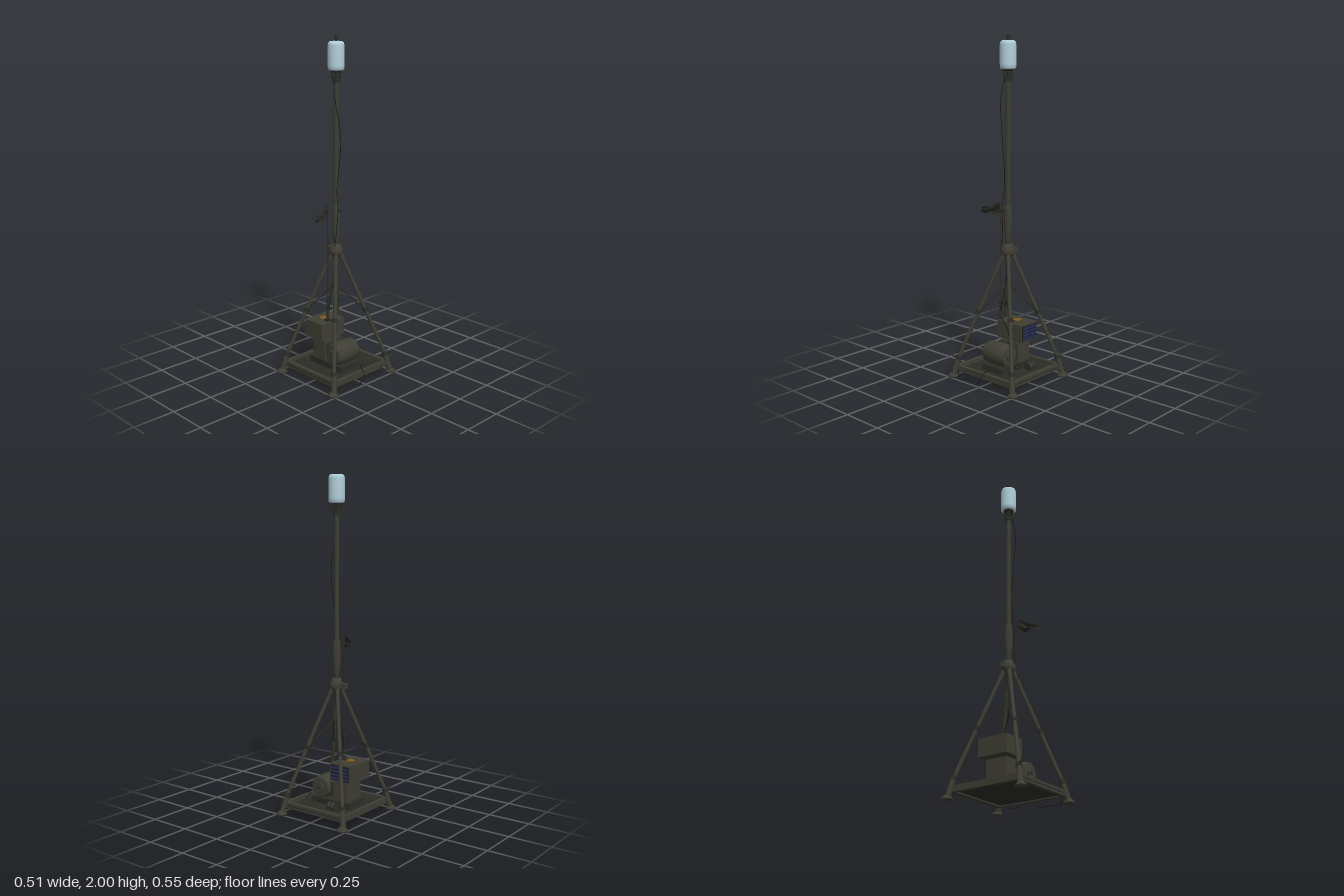
import * as THREE from 'three';

const mat = (name, color, opts = {}) => {
  const m = new THREE.MeshStandardMaterial({ color, ...opts });
  m.name = name;
  return m;
};
const V = (x, y, z) => new THREE.Vector3(x, y, z);

export function createModel() {
  const model = new THREE.Group();
  const olive = mat('olive paint', 0x3e3e34);
  const dark = mat('dark metal', 0x2c2c27);
  const black = mat('black cable', 0x1c1c1b);
  const cloth = mat('dark cloth', 0x262622, { side: THREE.DoubleSide });
  const glass = mat('pale blue lamp', 0xb2d0da);
  const amber = mat('amber cap', 0x7a5a20);
  const blue = mat('blue louver', 0x26305e);

  const add = (name, geo, material, pos = [0, 0, 0], parent = model) => {
    const m = new THREE.Mesh(geo, material);
    m.name = name;
    m.position.set(...pos);
    parent.add(m);
    return m;
  };
  const box = (name, x0, x1, y0, y1, z0, z1, material) =>
    add(name, new THREE.BoxGeometry(x1 - x0, y1 - y0, z1 - z0), material,
      [(x0 + x1) / 2, (y0 + y1) / 2, (z0 + z1) / 2]);
  // Straight round bar between two points
  const bar = (name, a, b, r0, r1, material, sides = 10) => {
    const m = add(name, new THREE.CylinderGeometry(r1, r0, a.distanceTo(b), sides), material);
    m.position.copy(a).add(b).multiplyScalar(0.5);
    m.quaternion.setFromUnitVectors(V(0, 1, 0), b.clone().sub(a).normalize());
    return m;
  };
  const lathe = (name, pts, sides, material, pos) =>
    add(name, new THREE.LatheGeometry(pts.map(p => new THREE.Vector2(...p)), sides), material, pos);
  const cable = (name, pts, r = 0.0025) => add(name, new THREE.TubeGeometry(
    new THREE.CatmullRomCurve3(pts.map(p => V(...p))), pts.length * 8, r, 5), black);

  // Platform tray with a raised frame
  box('trayFloor', -0.2, 0.21, 0.047, 0.055, -0.21, 0.21, dark);
  for (const s of [-1, 1]) {
    box('frameRailAcross', -0.215, 0.22, 0.04, 0.075, s * 0.2125 - 0.0125, s * 0.2125 + 0.0125, olive);
    box('frameRailSide', s * 0.2075 - 0.0105, s * 0.2075 + 0.0105, 0.04, 0.075, -0.2, 0.2, olive);
    box('frameGroove', -0.185, 0.19, 0.054, 0.06, s * 0.2255 - 0.001, s * 0.2255 + 0.001, dark);
    for (const x of [-0.14, 0.14]) {
      const bolt = add('frameBolt', new THREE.CylinderGeometry(0.007, 0.007, 0.006, 6), dark, [x, 0.057, s * 0.226]);
      bolt.rotation.x = Math.PI / 2;
    }
  }

  // Four legs with foot pads, sockets and pins
  for (const sx of [-1, 1]) for (const sz of [-1, 1]) {
    const P = (r, y, dz = 0.01) => V(sx * r, y, sz * (r + dz));
    lathe('footPad', [[0, 0], [0.033, 0], [0.032, 0.008], [0.016, 0.024], [0, 0.026]], 8, olive,
      [sx * 0.223, 0, sz * 0.24]);
    bar('footSocket', P(0.224, 0.015), P(0.201, 0.125), 0.017, 0.015, olive);
    bar('socketCollar', P(0.204, 0.108), P(0.199, 0.13), 0.019, 0.017, dark);
    bar('socketPin', P(0.2, 0.115), P(0.228, 0.132), 0.004, 0.004, dark, 6);
    bar('leg', P(0.205, 0.11), P(0.018, 0.75, 0), 0.0115, 0.0115, olive);
    bar('legTopJoint', P(0.031, 0.705, 0), P(0.014, 0.76, 0), 0.012, 0.015, olive);
    // V-shaped brace on each side
    bar('brace', V(sx * 0.118, 0.4, sz * 0.122), V(sx * 0.02, 0.555, 0), 0.005, 0.005, dark, 6);
    bar('braceClamp', P(0.124, 0.388, 0.004), P(0.117, 0.412, 0.004), 0.015, 0.015, dark, 8);
  }

  // Hub and telescopic mast
  lathe('hub', [[0, 0.735], [0.026, 0.735], [0.034, 0.745], [0.042, 0.755], [0.042, 0.78],
    [0.03, 0.79], [0.026, 0.81], [0, 0.81]], 12, olive);
  box('hubLatch', -0.07, -0.03, 0.752, 0.782, -0.014, 0.014, olive);
  bar('innerColumn', V(0, 0.64, 0), V(0, 0.74, 0), 0.01, 0.014, dark);
  lathe('mastSleeve', [[0, 0.8], [0.017, 0.8], [0.018, 0.87], [0.024, 0.9], [0.025, 0.96],
    [0.022, 0.985], [0.022, 1.03], [0.014, 1.035], [0, 1.035]], 12, olive);
  bar('sleeveScrew', V(0.018, 1.01, 0), V(0.042, 1.01, 0), 0.006, 0.006, dark, 6);
  bar('mastPole', V(0, 1.03, 0), V(0, 1.76, 0), 0.0145, 0.0145, olive, 12);
  bar('mastCollar', V(0, 1.742, 0), V(0, 1.778, 0), 0.021, 0.021, dark, 12);
  bar('lampStem', V(0, 1.775, 0), V(0, 1.815, 0), 0.013, 0.013, dark);
  for (let i = 0; i < 4; i++) {
    const a = i * Math.PI / 2 + Math.PI / 4, c = Math.cos(a) * 0.024, s = Math.sin(a) * 0.024;
    bar('lampSupport', V(c, 1.765, s), V(c, 1.815, s), 0.004, 0.004, dark, 6);
  }

  // Lamp with top fitting
  lathe('lampBase', [[0, 1.802], [0.03, 1.802], [0.032, 1.815], [0, 1.816]], 16, dark);
  lathe('lampShade', [[0, 1.812], [0.038, 1.812], [0.046, 1.82], [0.047, 1.84], [0.047, 1.948],
    [0.043, 1.964], [0.034, 1.97], [0, 1.971]], 20, glass);
  bar('lampTopStem', V(0, 1.965, 0), V(0, 1.99, 0), 0.007, 0.007, dark, 6);
  bar('lampTopNut', V(0, 1.986, 0), V(0, 2, 0), 0.013, 0.013, dark, 6);

  // Generator: engine block, tank and louvers
  box('engineBlock', -0.12, -0.02, 0.088, 0.21, -0.06, 0.075, olive);
  box('engineNeck', -0.1, -0.035, 0.205, 0.222, -0.05, 0.06, dark);
  box('tank', -0.161, -0.018, 0.218, 0.322, -0.086, 0.102, olive);
  box('enginePlinth', -0.14, 0.13, 0.055, 0.09, -0.07, 0.085, dark);
  lathe('fuelCap', [[0, 0], [0.026, 0], [0.026, 0.006], [0.02, 0.009], [0, 0.009]], 12, amber,
    [-0.093, 0.322, 0.012]);
  box('capHandle', -0.068, -0.035, 0.322, 0.329, 0.004, 0.036, dark);
  box('louverPanel', -0.152, -0.027, 0.226, 0.314, -0.09, -0.086, black);
  for (let i = 0; i < 4; i++) for (const x of [-0.148, -0.087])
    box('louver', x, x + 0.055, 0.232 + i * 0.021, 0.244 + i * 0.021, -0.094, -0.089, blue);

  // Alternator drum, lying front to back
  const drum = lathe('alternatorDrum', [[0, -0.085], [0.054, -0.085], [0.062, -0.08], [0.067, -0.04], [0.069, 0],
    [0.067, 0.04], [0.062, 0.08], [0.054, 0.085], [0, 0.085]], 24, olive, [0.066, 0.155, 0.01]);
  drum.rotation.x = Math.PI / 2;
  bar('drumEndCap', V(0.066, 0.155, -0.085), V(0.066, 0.155, 0.103), 0.027, 0.027, olive, 16);
  bar('drumShaft', V(0.066, 0.155, -0.09), V(0.066, 0.155, 0.108), 0.009, 0.009, dark, 8);
  box('drumCoupling', -0.025, 0.02, 0.11, 0.19, -0.05, 0.06, dark);

  // Small spare parts on the tray floor
  bar('exhaustCan', V(-0.088, 0.078, -0.12), V(-0.035, 0.078, -0.12), 0.022, 0.022, olive, 12);
  for (const x of [-0.085, -0.062, -0.038])
    bar('exhaustBand', V(x - 0.004, 0.078, -0.12), V(x + 0.004, 0.078, -0.12), 0.025, 0.025, dark, 12);

  // Flag pole and crumpled flag
  bar('flagPole', V(-0.004, 0.34, 0.064), V(-0.004, 1.05, 0.064), 0.0045, 0.0035, dark, 6);
  bar('flagPoleGrip', V(-0.004, 0.34, 0.064), V(-0.004, 0.46, 0.064), 0.007, 0.007, dark, 6);
  const flag = new THREE.PlaneGeometry(1, 1, 14, 6), fp = flag.attributes.position;
  for (let i = 0; i < fp.count; i++) {
    const u = fp.getX(i) + 0.5, v = fp.getY(i) + 0.5;
    const low = 0.975 + 0.006 * Math.sin(u * 14), high = 1.045 - 0.045 * u + 0.006 * Math.sin(u * 9);
    fp.setXYZ(i, -0.004 + 0.034 * u + 0.014 * Math.sin(u * 3) * Math.sin(v * 9 + u * 5),
      low + (high - low) * v, 0.064 + 0.128 * u - 0.012 * u * v);
  }
  flag.computeVertexNormals();
  add('flag', flag, cloth);

  // Cables
  cable('mastCable', [[0.012, 1.77, 0.012], [0.012, 1.72, 0.028], [0.03, 1.62, 0.03], [0.042, 1.5, 0.012],
    [0.042, 1.4, 0.004], [0.026, 1.25, 0.004], [0.02, 1.12, 0.012], [0.032, 1.03, 0.016], [0.026, 0.9, 0.02],
    [0.02, 0.8, 0.03]]);
  cable('dropCable', [[0.004, 0.74, -0.02], [-0.002, 0.65, 0.005], [-0.004, 0.55, 0.025], [-0.006, 0.45, 0.05],
    [-0.004, 0.36, 0.062], [0.004, 0.33, 0.03], [-0.002, 0.29, 0.005], [-0.008, 0.2, 0.002], [-0.008, 0.1, 0.03]], 0.003);
  bar('cablePlug', V(-0.005, 0.39, 0.062), V(-0.005, 0.45, 0.052), 0.006, 0.006, black, 8);
  cable('backLoop', [[0, 0.09, -0.07], [0.005, 0.09, -0.11], [0.03, 0.088, -0.122], [0.048, 0.088, -0.105],
    [0.04, 0.09, -0.085]]);
  cable('frontLoop', [[-0.06, 0.09, 0.09], [-0.05, 0.085, 0.11], [-0.025, 0.085, 0.108], [-0.01, 0.09, 0.085]]);
  cable('sideCable', [[0.17, 0.07, -0.08], [0.168, 0.085, -0.05], [0.185, 0.085, -0.02], [0.215, 0.08, -0.01],
    [0.238, 0.04, 0.005], [0.232, 0.01, 0.03], [0.218, 0.004, 0.05], [0.215, 0.004, 0.13], [0.232, 0.006, 0.15],
    [0.235, 0.01, 0.18], [0.218, 0.045, 0.2]]);
  cable('groundCable', [[0.218, 0.05, -0.17], [0.226, 0.03, -0.15], [0.224, 0.03, -0.1], [0.212, 0.035, -0.07]]);

  return model;
}
